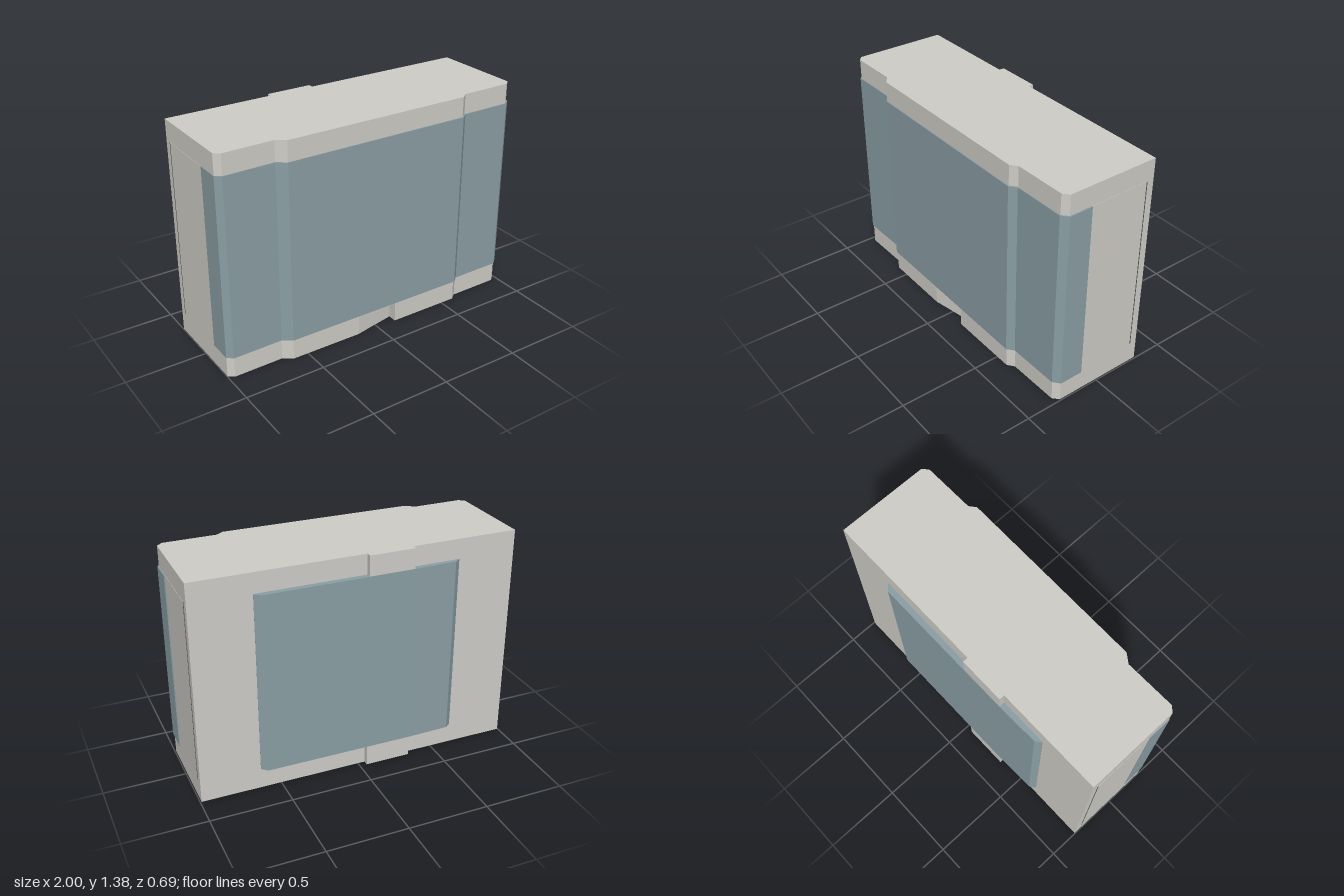
import * as THREE from 'three';

const stone = new THREE.MeshStandardMaterial({ color: 0xd0cec8, flatShading: true });
const glass = new THREE.MeshStandardMaterial({ color: 0x8b9fa5, flatShading: true });
const dark = new THREE.MeshStandardMaterial({ color: 0x55595b, flatShading: true });

const TOP = 1.375, GLASS_LOW = 0.13, GLASS_HIGH = 1.25;

// Extrudes a floor plan of [x, z] points between two heights
function prism(name, plan, y0, y1, material) {
  const shape = new THREE.Shape(plan.map(([x, z]) => new THREE.Vector2(x, z)));
  const geometry = new THREE.ExtrudeGeometry(shape, { depth: y1 - y0, bevelEnabled: false });
  geometry.rotateX(Math.PI / 2).translate(0, y1, 0);
  const mesh = new THREE.Mesh(geometry, material);
  mesh.name = name;
  return mesh;
}

export function createModel() {
  const group = new THREE.Group();
  group.name = 'officeBlock';

  // Plan: back wall with stair bay, then the stepped front
  const back = [[-0.997, -0.31], [-0.33, -0.31], [-0.33, -0.342], [-0.045, -0.342],
    [-0.045, -0.31], [0.992, -0.31]];
  const frontRight = [[0.992, 0.268], [0.957, 0.3], [0.63, 0.304], [0.59, 0.336]];
  const frontLeft = [[-0.597, 0.332], [-0.652, 0.292], [-0.963, 0.296], [-0.997, 0.268]];
  // Slanted entrance recess in the ground floor
  const entrance = [[0.13, 0.336], [0.13, 0.28], [-0.04, 0.313], [-0.14, 0.334]];

  group.add(prism('groundFloor', [...back, ...frontRight, ...entrance, ...frontLeft], 0, GLASS_LOW, stone));
  group.add(prism('upperFloors', [...back, ...frontRight, ...frontLeft], GLASS_LOW, TOP, stone));

  // Front glazing wraps round both corners
  group.add(prism('frontGlazing', [[-1, 0.123], [1, 0.123], [1, 0.272], [0.96, 0.306],
    [0.633, 0.31], [0.593, 0.343], [-0.6, 0.338], [-0.655, 0.298], [-0.966, 0.302], [-1, 0.272]],
  GLASS_LOW, GLASS_HIGH, glass));

  // Rear glazing with chamfered ends
  group.add(prism('rearGlazing', [[-0.63, -0.305], [-0.63, -0.312], [-0.595, -0.338],
    [-0.33, -0.345], [0.59, -0.345], [0.625, -0.312], [0.625, -0.305]], GLASS_LOW, GLASS_HIGH, glass));

  // Side panels, each with a narrow joint near the back
  for (const [side, x] of [['left', 0.992], ['right', -0.997]]) {
    const s = Math.sign(x);
    const height = GLASS_HIGH - GLASS_LOW, mid = (GLASS_HIGH + GLASS_LOW) / 2;
    const panel = new THREE.Mesh(new THREE.BoxGeometry(0.01, height, 0.38), stone);
    panel.name = side + 'SidePanel';
    panel.position.set(x - s * 0.0035, mid, -0.069);
    const joint = new THREE.Mesh(new THREE.BoxGeometry(0.01, height, 0.005), dark);
    joint.name = side + 'SideJoint';
    joint.position.set(x - s * 0.003, mid, -0.2625);
    group.add(panel, joint);
  }
  return group;
}
